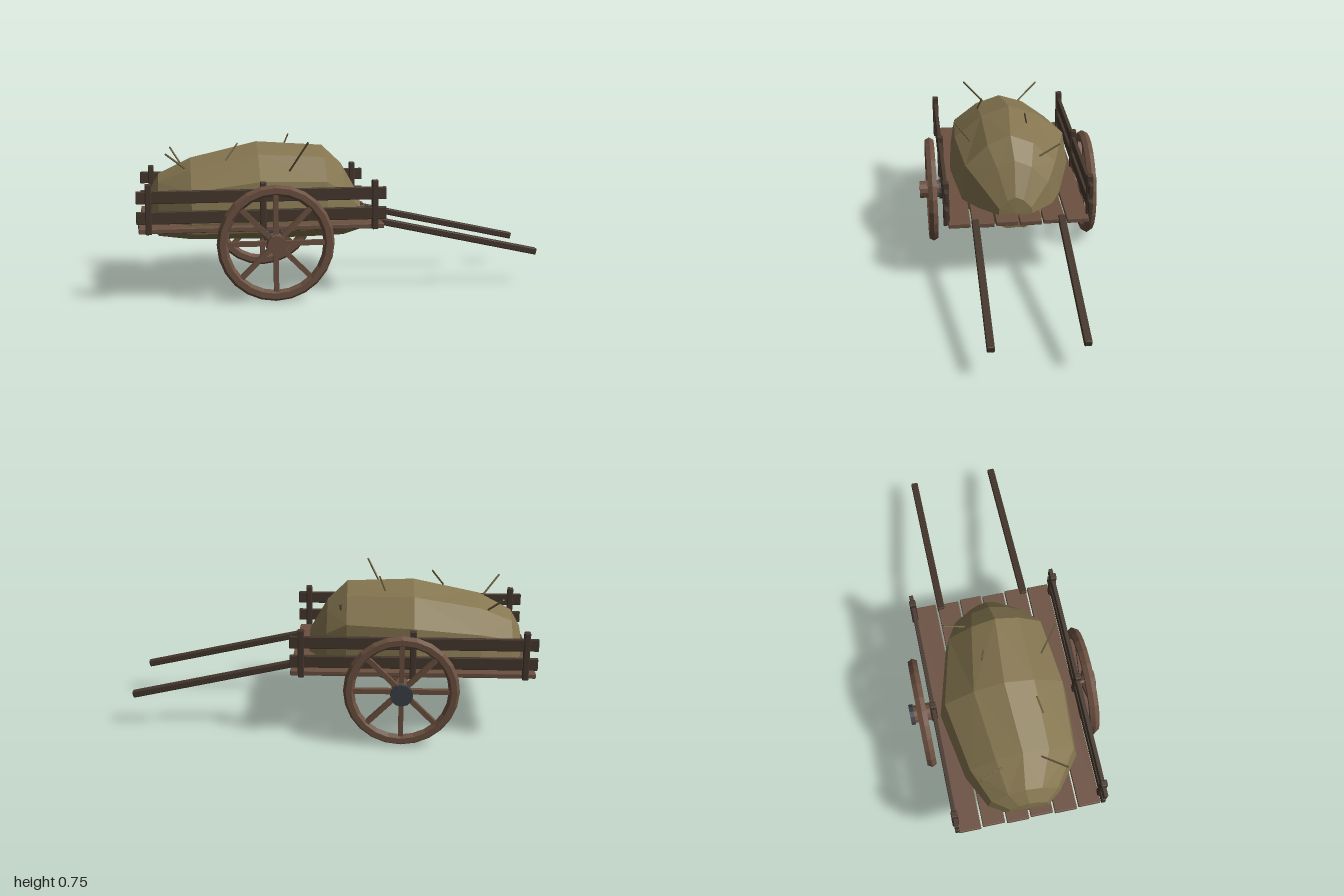
import * as THREE from 'three';
import { RoundedBoxGeometry } from 'three/addons/geometries/RoundedBoxGeometry.js';

const mat = (color, side = THREE.FrontSide) =>
  new THREE.MeshStandardMaterial({ color, flatShading: true, side });
const wood = mat(0x6b5040), darkWood = mat(0x45372d), iron = mat(0x3a3f46);
const hay = mat(0x857650), straw = mat(0x6f6240);

function add(parent, name, geometry, material, x = 0, y = 0, z = 0) {
  const mesh = new THREE.Mesh(geometry, material);
  mesh.name = name;
  mesh.position.set(x, y, z);
  parent.add(mesh);
  return mesh;
}

// Box with slightly chamfered edges
const beam = (w, h, d) => new RoundedBoxGeometry(w, h, d, 1, Math.min(w, h, d) * 0.15);

// Thin stick between two points
function stick(parent, name, a, b, r, material) {
  const p = new THREE.Vector3(...a), q = new THREE.Vector3(...b);
  const dir = q.clone().sub(p);
  const mesh = add(parent, name, new THREE.CylinderGeometry(r, r, dir.length(), 4), material);
  mesh.position.copy(p).add(q).multiplyScalar(0.5);
  mesh.quaternion.setFromUnitVectors(new THREE.Vector3(0, 1, 0), dir.normalize());
}

// Spoked wheel with a hub and an iron cap on its -z end
function makeWheel(name) {
  const wheel = new THREE.Group();
  wheel.name = name;
  add(wheel, 'rim', new THREE.TorusGeometry(0.253, 0.027, 6, 24), wood);
  for (let i = 0; i < 8; i++) {
    const a = i * Math.PI / 4;
    const spoke = add(wheel, 'spoke', new THREE.BoxGeometry(0.21, 0.024, 0.024), wood,
      0.135 * Math.cos(a), 0.135 * Math.sin(a), 0);
    spoke.rotation.z = a;
  }
  const hub = add(wheel, 'hub', new THREE.CylinderGeometry(0.046, 0.046, 0.106, 12), wood, 0, 0, 0.0095);
  const cap = add(wheel, 'hubCap', new THREE.CylinderGeometry(0.054, 0.054, 0.021, 12), iron, 0, 0, -0.052);
  hub.rotation.x = cap.rotation.x = Math.PI / 2;
  return wheel;
}

// Faceted heap lofted through cross-sections along x
function hayGeometry() {
  // x, half width, top height, bottom height, sideways shift
  const stations = [
    [-0.95, 0.10, 0.48, 0.31, 0.0], [-0.90, 0.18, 0.57, 0.27, -0.01],
    [-0.74, 0.28, 0.65, 0.262, 0.01], [-0.41, 0.32, 0.725, 0.257, -0.01],
    [-0.08, 0.255, 0.705, 0.262, 0.015], [0.02, 0.19, 0.61, 0.258, 0.005],
    [0.11, 0.09, 0.45, 0.275, 0.01],
  ];
  const half = [[0.5, 0], [0.96, 0.12], [1, 0.25], [0.91, 0.64], [0.46, 0.89]];
  const section = [[0, 0.02], ...half, [0, 1], ...half.map(([z, y]) => [-z, y]).reverse()];
  const n = section.length, pos = [], idx = [];
  for (const [x, w, top, bottom, shift] of stations)
    for (const [z, y] of section) pos.push(x, bottom + y * (top - bottom), shift + z * w);
  for (let s = 0; s < stations.length - 1; s++)
    for (let i = 0; i < n; i++) {
      const a = s * n + i, b = s * n + (i + 1) % n, c = a + n, d = b + n;
      if ((s + i) % 2) idx.push(a, c, b, b, c, d);
      else idx.push(a, c, d, a, d, b);
    }
  // Slightly bulging end caps
  for (const [s, out] of [[0, -0.006], [stations.length - 1, 0.006]]) {
    const [x, , top, bottom, shift] = stations[s];
    const centre = pos.length / 3;
    pos.push(x + out, (top + bottom) / 2, shift);
    for (let i = 0; i < n; i++) {
      const a = s * n + i, b = s * n + (i + 1) % n;
      if (s) idx.push(centre, b, a);
      else idx.push(centre, a, b);
    }
  }
  const g = new THREE.BufferGeometry();
  g.setAttribute('position', new THREE.Float32BufferAttribute(pos, 3));
  g.setIndex(idx);
  g.computeVertexNormals();
  return g;
}

export function createModel() {
  const cart = new THREE.Group();
  cart.name = 'hayCart';

  // Floor planks
  const bed = new THREE.Group();
  bed.name = 'bed';
  cart.add(bed);
  for (let i = 0; i < 6; i++)
    add(bed, 'floorPlank', beam(1.185 - (i % 2) * 0.012, 0.025, 0.11), wood, -0.404, 0.342, (i - 2.5) * 0.119);

  // Side rails, posts and pulling shafts
  for (const side of [1, -1]) {
    const fence = new THREE.Group();
    fence.name = side > 0 ? 'frontFence' : 'backFence';
    cart.add(fence);
    for (const y of [0.408, 0.505])
      add(fence, 'rail', beam(1.19, 0.06, 0.02), darkWood, -0.405, y, side * 0.36);
    for (const x of [-0.943, -0.404, 0.135])
      add(fence, 'post', beam(0.03, 0.24, 0.032), darkWood, x, 0.449, side * 0.36);

    const shaft = add(cart, 'shaft', beam(0.86, 0.033, 0.036), darkWood, 0.573, 0.257, side * 0.218);
    shaft.rotation.z = -0.216;
  }

  // Axle and wheels
  const axle = add(cart, 'axle', new THREE.CylinderGeometry(0.021, 0.021, 0.78, 8), wood, -0.35, 0.285, 0);
  axle.rotation.x = Math.PI / 2;
  for (const side of [1, -1]) {
    const wheel = makeWheel(side > 0 ? 'frontWheel' : 'backWheel');
    wheel.position.set(-0.35, 0.283, side * 0.4175);
    cart.add(wheel);
  }

  // Hay load with loose straws
  add(cart, 'hayHeap', hayGeometry(), hay);
  const straws = [
    [[-0.84, 0.68, -0.21], [-0.77, 0.58, -0.08]],
    [[-0.86, 0.69, 0.2], [-0.76, 0.6, 0.09]],
    [[-0.18, 0.745, 0.29], [-0.27, 0.585, 0.2]],
    [[-0.51, 0.73, 0.125], [-0.57, 0.65, 0.145]],
    [[-0.24, 0.755, -0.075], [-0.27, 0.68, -0.09]],
    [[-0.05, 0.66, -0.235], [-0.05, 0.59, -0.12]],
  ];
  for (const [a, b] of straws) stick(cart, 'straw', a, b, 0.005, straw);

  return cart;
}
